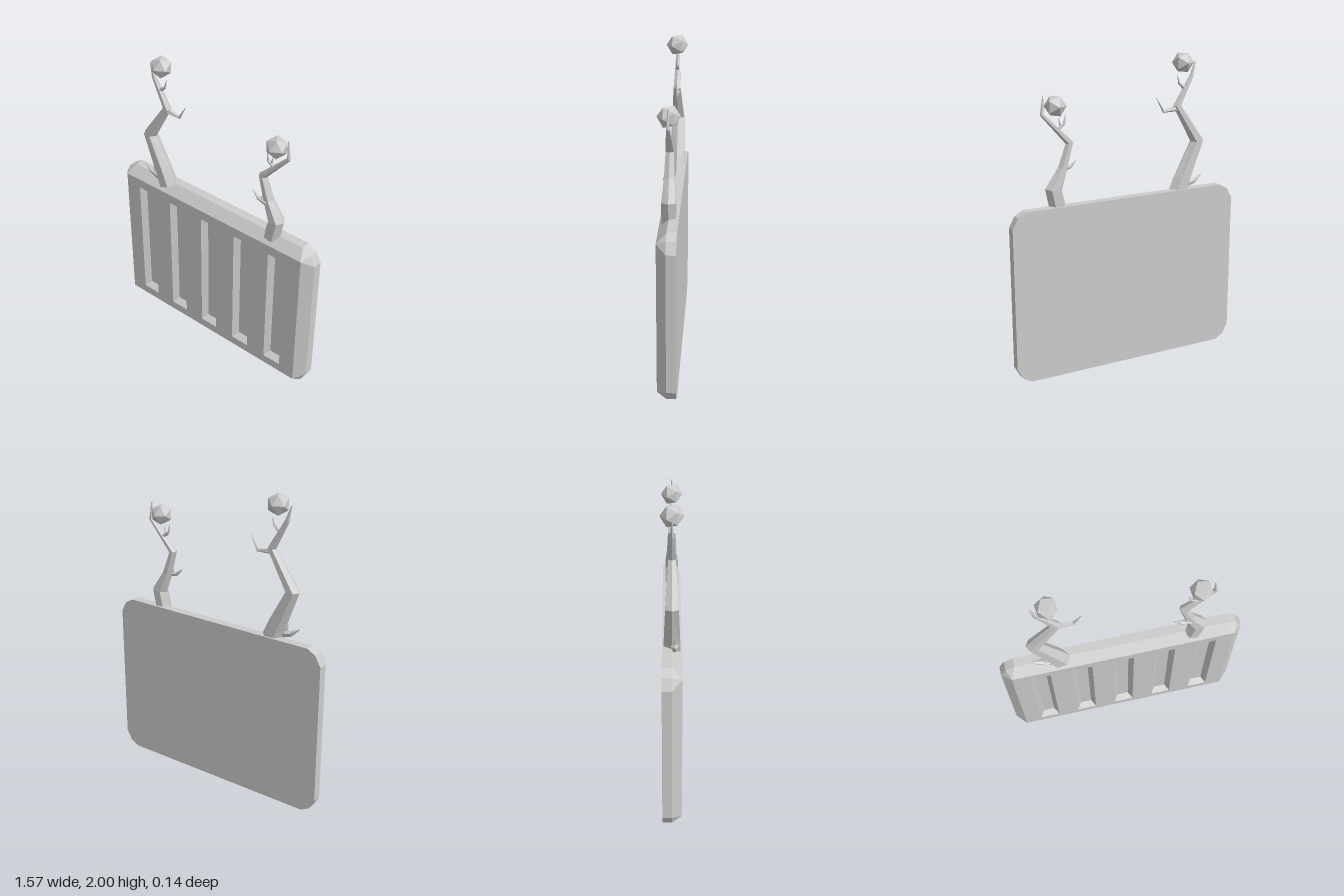
import * as THREE from 'three';

const material = new THREE.MeshStandardMaterial({ color: 0xcccccc, flatShading: true });

function meshFrom(positions, name) {
  const g = new THREE.BufferGeometry();
  g.setAttribute('position', new THREE.Float32BufferAttribute(positions, 3));
  g.computeVertexNormals();
  const m = new THREE.Mesh(g, material);
  m.name = name;
  return m;
}

// Adds one triangle, skipping collapsed ones
function tri(out, a, b, c) {
  const same = (p, q) => p.every((v, i) => v === q[i]);
  if (!same(a, b) && !same(b, c) && !same(a, c)) out.push(...a, ...b, ...c);
}

// Joins two closed loops of equal length with quads
function bridge(out, A, B) {
  A.forEach((a, i) => {
    const j = (i + 1) % A.length;
    tri(out, a, A[j], B[i]);
    tri(out, A[j], B[j], B[i]);
  });
}

function fan(out, loop) {
  for (let i = 1; i < loop.length - 1; i++) tri(out, loop[0], loop[i], loop[i + 1]);
}

// Counter-clockwise rectangle loop
const rect = (cx, cy, hw, hh, z) =>
  [[1, -1], [1, 1], [-1, 1], [-1, -1]].map(([sx, sy]) => [cx + sx * hw, cy + sy * hh, z]);

const SLOTS = [-2, -1, 0, 1, 2].map(i => i * 0.272);

function createPanel() {
  const group = new THREE.Group();
  group.name = 'panel';
  const cy = 0.56, back = -0.06, mid = 0, front = 0.06;

  // Clipped-corner outline, three points per corner
  const corner = [[0.785, 0.46], [0.748, 0.528], [0.69, 0.56]];
  const outline = z => [[1, -1], [1, 1], [-1, 1], [-1, -1]].flatMap(([sx, sy]) => {
    const pts = corner.map(([x, y]) => [sx * x, cy + sy * y, z]);
    return sx * sy > 0 ? pts : pts.reverse();
  });
  const face = rect(0, 0.5625, 0.722, 0.4975, front);

  // Sides, front bevel and back
  const shell = [];
  bridge(shell, outline(back), outline(mid));
  bridge(shell, outline(mid), face.flatMap(p => [p, p, p]));
  fan(shell, outline(back).reverse());
  group.add(meshFrom(shell, 'panelShell'));

  // Front face with slot openings
  const toV2 = loop => loop.map(([x, y]) => new THREE.Vector2(x, y));
  const shape = new THREE.Shape(toV2(face));
  const openings = SLOTS.map(x => rect(x, 0.56, 0.065, 0.435, front));
  openings.forEach(o => shape.holes.push(new THREE.Path(toV2(o).reverse())));
  const faceMesh = new THREE.Mesh(new THREE.ShapeGeometry(shape), material);
  faceMesh.position.z = front;
  faceMesh.name = 'panelFace';
  group.add(faceMesh);

  // Sloped recess behind each opening
  openings.forEach((o, i) => {
    const floor = rect(SLOTS[i], 0.56, 0.038, 0.405, front - 0.04);
    const recess = [];
    bridge(recess, o, floor);
    fan(recess, floor);
    group.add(meshFrom(recess, 'slot'));
  });
  return group;
}

// Tapered faceted limb; points are [x, y, halfWidth, halfDepth], mitred at bends
function limb(points, name, z = 0, sides = 6) {
  const dir = (p, q) => new THREE.Vector2(q[0] - p[0], q[1] - p[1]).normalize();
  const rings = points.map((p, i) => {
    const prev = i > 0 ? dir(points[i - 1], p) : dir(p, points[1]);
    const next = i < points.length - 1 ? dir(p, points[i + 1]) : prev;
    const t = prev.clone().add(next).normalize();
    const [x, y, w, d = w] = p;
    return Array.from({ length: sides }, (_, k) => {
      const a = (k / sides) * Math.PI * 2;
      const c = Math.cos(a) * w;
      return [x + t.y * c, y - t.x * c, z + Math.sin(a) * d];
    });
  });
  const out = [];
  for (let i = 0; i < rings.length - 1; i++) bridge(out, rings[i + 1], rings[i]);
  fan(out, rings[0]);
  fan(out, [...rings[rings.length - 1]].reverse());
  return meshFrom(out, name);
}

// Twenty-sided ball with a vertex facing the front
function ball(x, y) {
  const g = new THREE.IcosahedronGeometry(0.07, 0);
  g.rotateX(Math.atan(2 / (1 + Math.sqrt(5))));
  g.rotateZ(Math.PI / 2);
  const m = new THREE.Mesh(g, material);
  m.position.set(x, y, 0);
  m.name = 'ball';
  return m;
}

function createTree(name, trunk, twigs, ballPos) {
  const group = new THREE.Group();
  group.name = name;
  group.add(limb(trunk, 'trunk'));
  twigs.forEach(({ path, z }) => group.add(limb(path, 'twig', z, 5)));
  group.add(ball(...ballPos));
  return group;
}

export function createModel() {
  const model = new THREE.Group();
  model.name = 'slottedPanelWithTrees';
  model.add(createPanel());

  model.add(createTree('tallTree',
    [[-0.395, 1.09, 0.068, 0.058], [-0.43, 1.18, 0.062, 0.055], [-0.54, 1.425, 0.048, 0.045],
      [-0.385, 1.665, 0.03, 0.026], [-0.488, 1.85, 0.016, 0.013], [-0.515, 1.945, 0.003]],
    [
      { path: [[-0.40, 1.65, 0.02], [-0.285, 1.638, 0.011], [-0.233, 1.725, 0.002]], z: 0 },
      { path: [[-0.445, 1.77, 0.015], [-0.397, 1.81, 0.008], [-0.384, 1.86, 0.002]], z: 0 },
      { path: [[-0.42, 1.125, 0.03], [-0.53, 1.15, 0.018], [-0.59, 1.192, 0.002]], z: 0.015 },
      { path: [[-0.47, 1.135, 0.016], [-0.495, 1.165, 0.01], [-0.502, 1.205, 0.002]], z: 0.02 },
    ],
    [-0.423, 1.94]));

  model.add(createTree('shortTree',
    [[0.458, 1.085, 0.055, 0.05], [0.488, 1.222, 0.056, 0.05], [0.425, 1.345, 0.032, 0.036],
      [0.374, 1.502, 0.026, 0.028], [0.553, 1.69, 0.013, 0.012], [0.543, 1.805, 0.003]],
    [
      { path: [[0.425, 1.335, 0.018], [0.365, 1.345, 0.013], [0.318, 1.387, 0.002]], z: 0.022 },
      { path: [[0.40, 1.34, 0.01], [0.392, 1.365, 0.007], [0.398, 1.39, 0.002]], z: 0.022 },
      { path: [[0.455, 1.59, 0.014], [0.41, 1.622, 0.009], [0.398, 1.678, 0.002]], z: 0 },
      { path: [[0.425, 1.605, 0.009], [0.437, 1.625, 0.006], [0.443, 1.66, 0.002]], z: 0 },
    ],
    [0.465, 1.735]));

  return model;
}
